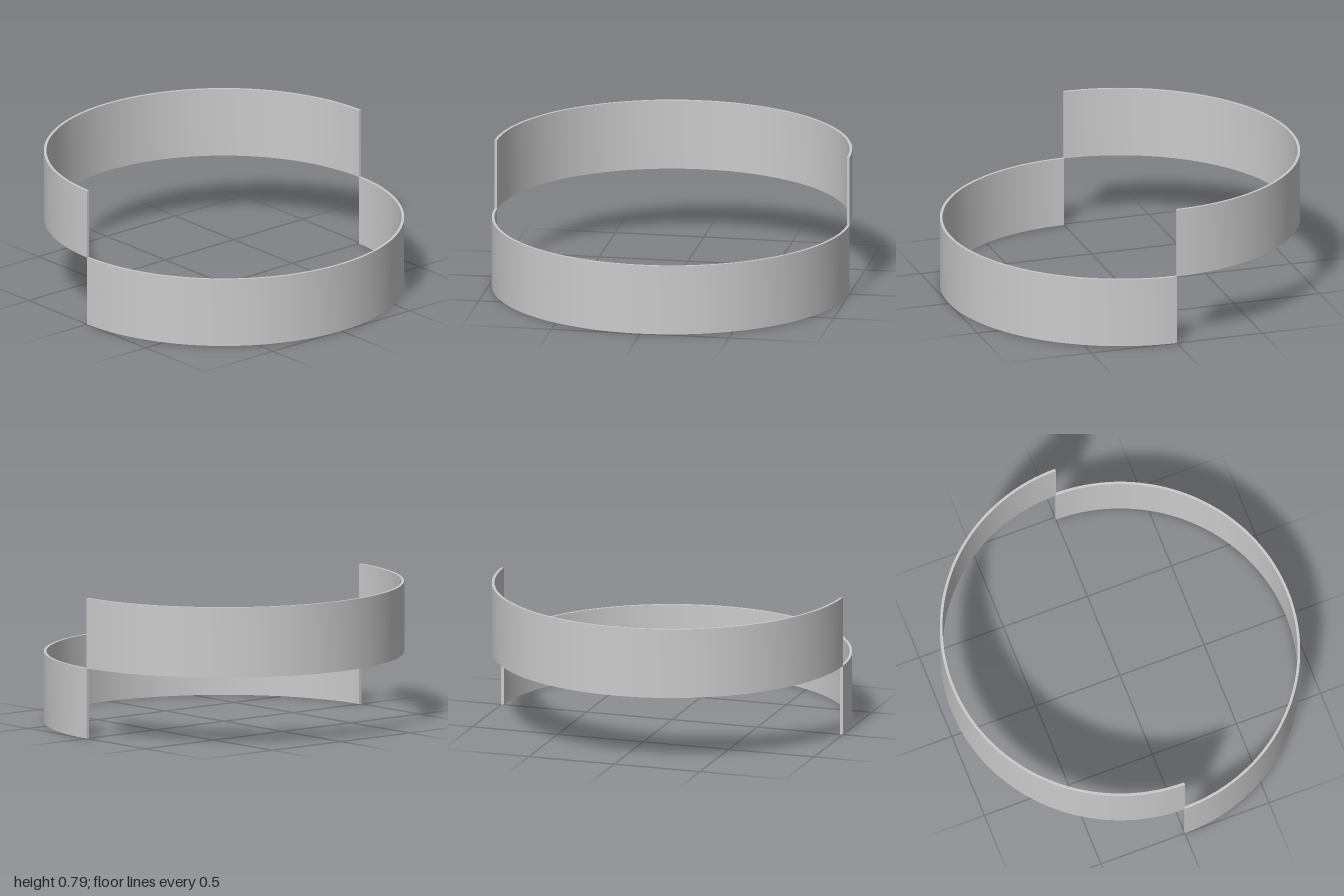
import * as THREE from 'three';
import { toCreasedNormals } from 'three/addons/utils/BufferGeometryUtils.js';

const OUTER = 1, INNER = 0.985, HEIGHT = 0.394;

// Half ring on the +x side, standing on y = 0
function halfRingGeometry() {
  const shape = new THREE.Shape();
  shape.absarc(0, 0, OUTER, -Math.PI / 2, Math.PI / 2, false);
  shape.absarc(0, 0, INNER, Math.PI / 2, -Math.PI / 2, true);
  shape.closePath();
  const geometry = new THREE.ExtrudeGeometry(shape, { depth: HEIGHT, bevelEnabled: false, curveSegments: 36 });
  geometry.rotateX(-Math.PI / 2);
  return toCreasedNormals(geometry, 0.5);
}

export function createModel() {
  const group = new THREE.Group();
  group.name = 'splitRing';
  const material = new THREE.MeshStandardMaterial({ color: 0xcccccc });
  const geometry = halfRingGeometry();

  // Lower half on the left, upper half turned round to the right
  const lower = new THREE.Mesh(geometry, material);
  lower.name = 'lowerHalfRing';

  const upper = new THREE.Mesh(geometry, material);
  upper.name = 'upperHalfRing';
  upper.rotation.y = Math.PI;
  upper.position.y = HEIGHT;

  group.add(lower, upper);
  return group;
}
